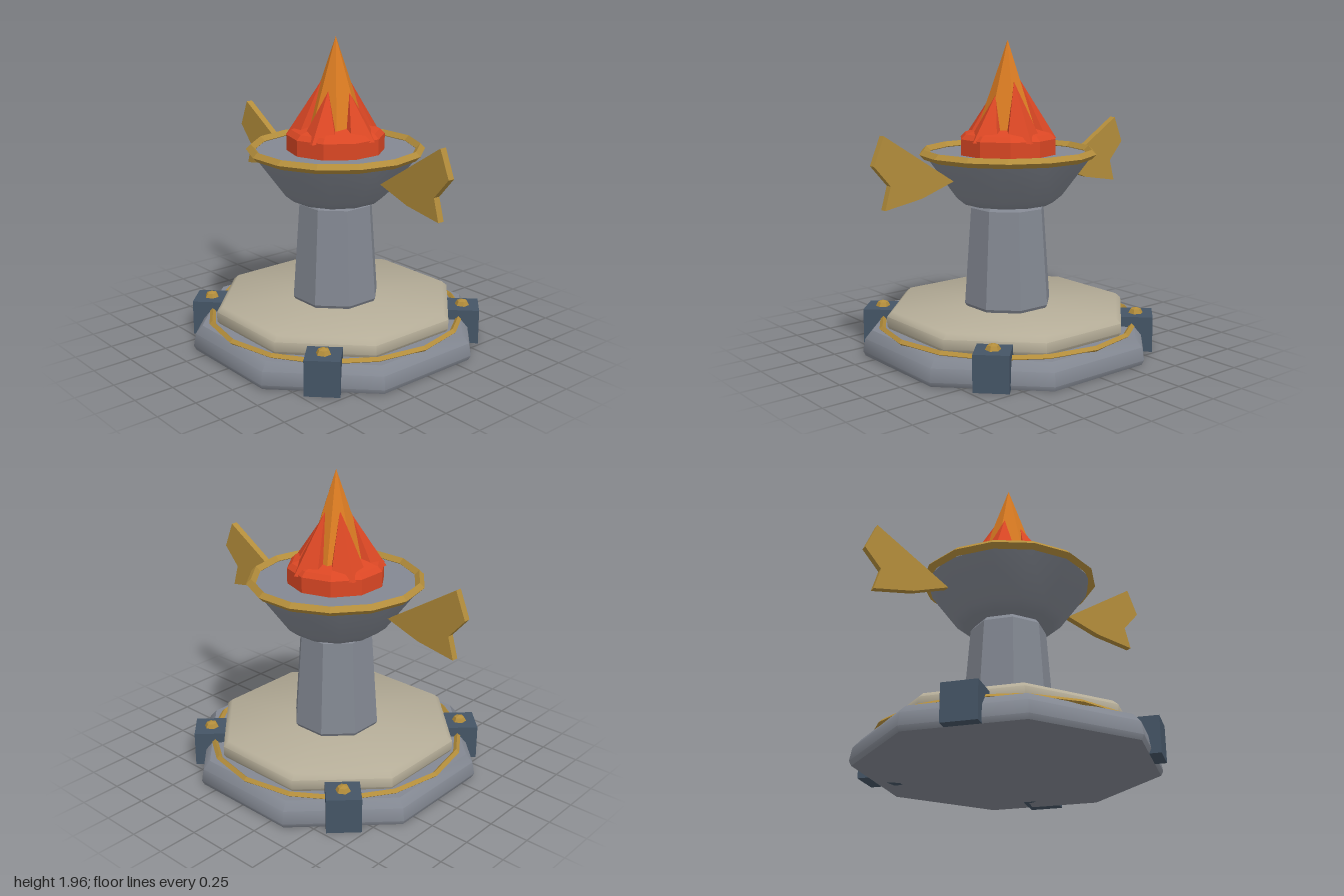
import * as THREE from 'three';
import { toCreasedNormals } from 'three/addons/utils/BufferGeometryUtils.js';

const material = (name, color) => {
  const m = new THREE.MeshStandardMaterial({ color });
  m.name = name;
  return m;
};

// Faceted copy of a geometry
function flat(geometry) {
  const g = geometry.index ? geometry.toNonIndexed() : geometry;
  g.computeVertexNormals();
  return g;
}

// Solid of revolution with few sides, a flat side facing the front
function turned(profile, sides) {
  const points = profile.map(([r, y]) => new THREE.Vector2(r, y));
  return new THREE.LatheGeometry(points, sides, Math.PI / sides);
}

export function createModel() {
  const stone = material('greyStone', 0x838892);
  const cream = material('creamStone', 0xb5ad98);
  const gold = material('gold', 0xb38d3b);
  const iron = material('blueIron', 0x455566);
  const red = material('redFlame', 0xdb4724);
  const orange = material('orangeFlame', 0xdb7c22);

  const model = new THREE.Group();
  model.name = 'brazier';
  const add = (name, geometry, mat, parent = model) => {
    const mesh = new THREE.Mesh(geometry, mat);
    mesh.name = name;
    parent.add(mesh);
    return mesh;
  };
  const smooth = (g) => toCreasedNormals(g, 0.83);

  // Stepped octagonal base
  add('baseSlab', smooth(turned(
    [[0, 0], [0.93, 0], [0.945, 0.03], [0.93, 0.11], [0.885, 0.16], [0, 0.16]], 8)), stone);
  add('upperSlab', smooth(turned(
    [[0, 0.15], [0.77, 0.15], [0.79, 0.18], [0.79, 0.24], [0.755, 0.27], [0, 0.27]], 8)), cream);

  // Gold bands with a diamond section
  const band = (name, radius, tube, sides, y) => {
    const g = new THREE.TorusGeometry(radius, tube, 4, sides);
    g.rotateX(-Math.PI / 2);
    g.translate(0, y, 0);
    add(name, flat(g), gold);
  };
  band('baseBand', 0.82, 0.02, 16, 0.165);
  band('bowlRim', 0.535, 0.03, 14, 1.25);

  // Corner clamps with bolts
  for (const sx of [-1, 1]) for (const sz of [-1, 1]) {
    const clamp = new THREE.Group();
    clamp.name = 'cornerClamp';
    clamp.position.set(sx * 0.583, 0, sz * 0.583);
    model.add(clamp);
    const block = add('clampBlock', new THREE.BoxGeometry(0.212, 0.225, 0.212), iron, clamp);
    block.position.y = 0.1125;
    block.rotation.y = Math.PI / 4;
    const bolt = add('bolt', flat(new THREE.SphereGeometry(0.047, 6, 4)), gold, clamp);
    bolt.position.y = 0.225;
    bolt.scale.y = 0.8;
    bolt.rotation.y = Math.PI / 2;
  }

  // Tapered octagonal column
  add('column', flat(turned(
    [[0, 0.26], [0.27, 0.265], [0.285, 0.29], [0.241, 0.905], [0.215, 0.935], [0, 0.935]], 8)), stone);

  // Bowl with a closed top
  add('bowl', smooth(turned(
    [[0, 0.935], [0.29, 0.935], [0.345, 0.98], [0.53, 1.23], [0.525, 1.245], [0, 1.245]], 12)), stone);

  // Forked side wings
  const wing = [[0.44, 1.11], [0.67, 1.03], [0.93, 0.985], [0.89, 1.125], [1, 1.25], [0.93, 1.42]];
  for (const side of [1, -1]) {
    const shape = new THREE.Shape(wing.map(([x, y]) => new THREE.Vector2(side * x, y)));
    const g = new THREE.ExtrudeGeometry(shape, { depth: 0.044, bevelEnabled: false });
    g.translate(0, 0, -0.022);
    add(side > 0 ? 'leftWing' : 'rightWing', g, gold);
  }

  // Flame: ember bed, tall core and five leaning tongues
  const flame = new THREE.Group();
  flame.name = 'flame';
  model.add(flame);
  const bed = new THREE.LatheGeometry(
    [[0, 1.24], [0.31, 1.24], [0.31, 1.345], [0.28, 1.375], [0, 1.46]].map(([r, y]) => new THREE.Vector2(r, y)), 10);
  add('emberBed', flat(bed), red, flame);

  const core = new THREE.ConeGeometry(0.225, 0.655, 7);
  core.translate(0, 1.6275, 0);
  add('flameCore', flat(core), orange, flame);

  // Direction in degrees, tip height, tip distance from the axis
  const tongues = [[78, 1.7, 0.085], [9, 1.62, 0.11], [-67, 1.63, 0.1], [-135, 1.68, 0.09], [152, 1.72, 0.07]];
  for (const [degrees, top, tipRadius] of tongues) {
    const low = 1.335, height = top - low;
    const g = new THREE.ConeGeometry(0.125, height, 5);
    g.rotateY(Math.PI / 2);
    g.translate(0, height / 2, 0);
    const p = g.attributes.position;
    for (let i = 0; i < p.count; i++) {
      p.setX(i, p.getX(i) + THREE.MathUtils.lerp(0.19, tipRadius, p.getY(i) / height));
    }
    g.rotateY(THREE.MathUtils.degToRad(degrees));
    g.translate(0, low, 0);
    add('flameTongue', flat(g), red, flame);
  }
  return model;
}
